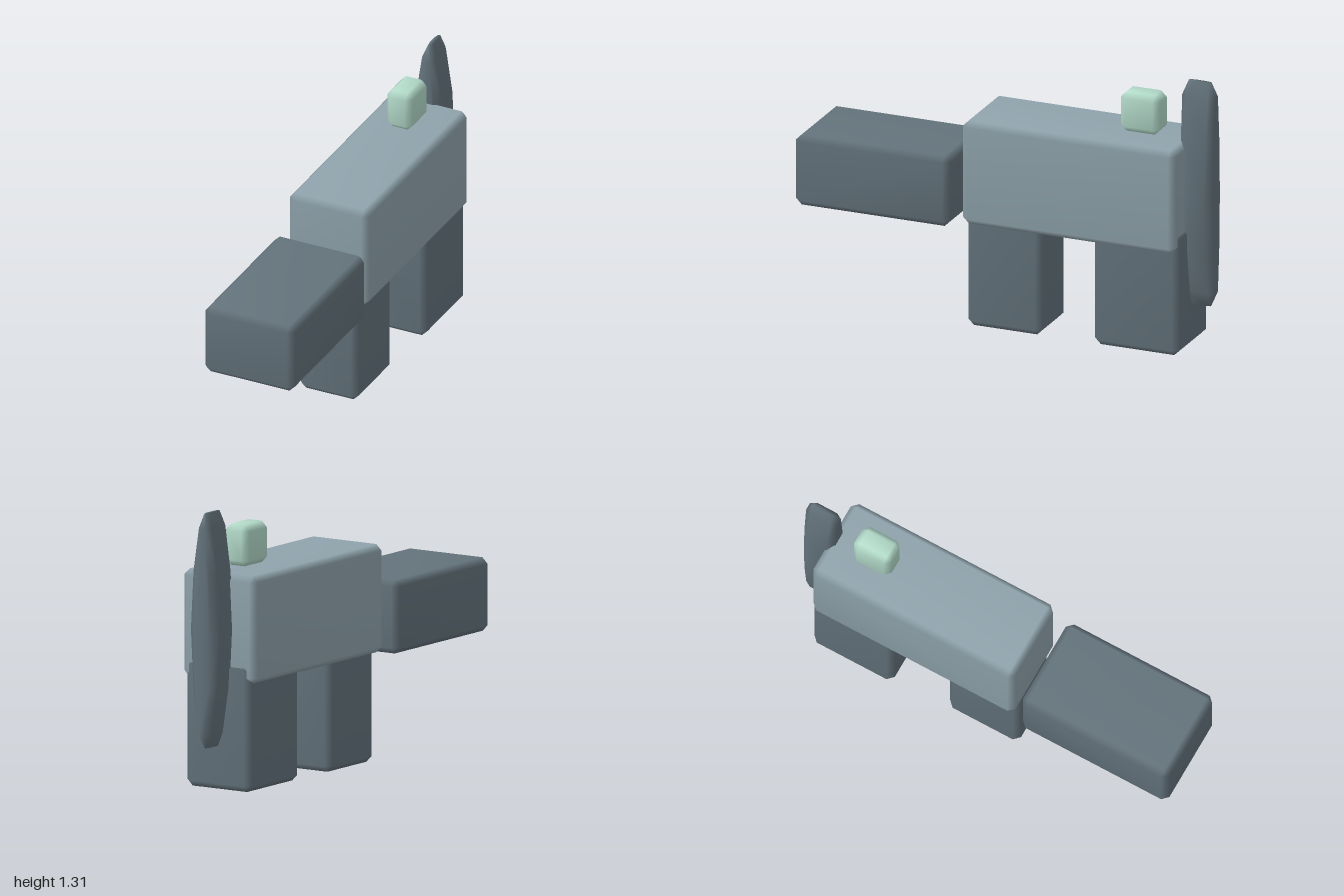
import * as THREE from 'three';
import { ConvexGeometry } from 'three/addons/geometries/ConvexGeometry.js';
import { mergeVertices } from 'three/addons/utils/BufferGeometryUtils.js';

// Smooth-shaded convex solid around a set of points
function smoothHull(points) {
  const hull = new ConvexGeometry(points);
  hull.deleteAttribute('normal');
  const geometry = mergeVertices(hull, 1e-4);
  geometry.computeVertexNormals();
  return geometry;
}

// Box with cut edges, given by half width and its y and z ranges
function chamferBox(hx, [y0, y1], [z0, z1], c) {
  const hy = (y1 - y0) / 2, hz = (z1 - z0) / 2;
  const points = [];
  for (const sx of [-1, 1]) for (const sy of [-1, 1]) for (const sz of [-1, 1]) {
    points.push(
      new THREE.Vector3(sx * hx, sy * (hy - c), sz * (hz - c)),
      new THREE.Vector3(sx * (hx - c), sy * hy, sz * (hz - c)),
      new THREE.Vector3(sx * (hx - c), sy * (hy - c), sz * hz));
  }
  return smoothHull(points).translate(0, (y0 + y1) / 2, (z0 + z1) / 2);
}

// Upright spindle: mirrored octagonal sections, pointed at both ends
function spindle() {
  const sections = [ // height from the middle, half width, half depth
    [0, 0.08, 0.081], [0.27, 0.066, 0.081], [0.475, 0.035, 0.081], [0.544, 0.01, 0.054],
  ];
  const points = [];
  for (const [y, w, d] of sections)
    for (const sy of y ? [-1, 1] : [1]) for (const sx of [-1, 1]) for (const sz of [-1, 1]) {
      points.push(
        new THREE.Vector3(sx * w, sy * y, sz * (d - 0.028)),
        new THREE.Vector3(sx * w * 0.5, sy * y, sz * d));
    }
  return smoothHull(points).translate(0, 0.761, -0.919);
}

export function createModel() {
  const model = new THREE.Group();
  const slate = new THREE.MeshStandardMaterial({ color: 0x64737c });
  const blueGrey = new THREE.MeshStandardMaterial({ color: 0x90a4ad });
  const mint = new THREE.MeshStandardMaterial({ color: 0xb4dccb });
  slate.name = 'slate';
  blueGrey.name = 'blueGrey';
  mint.name = 'mint';

  const add = (name, geometry, material) => {
    const mesh = new THREE.Mesh(geometry, material);
    mesh.name = name;
    model.add(mesh);
  };

  // Floating head and main body
  add('head', chamferBox(0.228, [0.493, 0.834], [0.235, 1], 0.028), slate);
  add('body', chamferBox(0.202, [0.513, 1.014], [-0.874, 0.182], 0.028), blueGrey);

  // Legs run up into the body
  add('frontLeg', chamferBox(0.148, [0, 0.6], [-0.19, 0.18], 0.028), slate);
  add('rearLeg', chamferBox(0.178, [0.012, 0.605], [-0.883, -0.463], 0.028), slate);

  // Block hovering above the back, and the rear spindle
  add('backBlock', chamferBox(0.065, [1.025, 1.216], [-0.738, -0.542], 0.028), mint);
  add('tailFin', spindle(), slate);

  return model;
}
